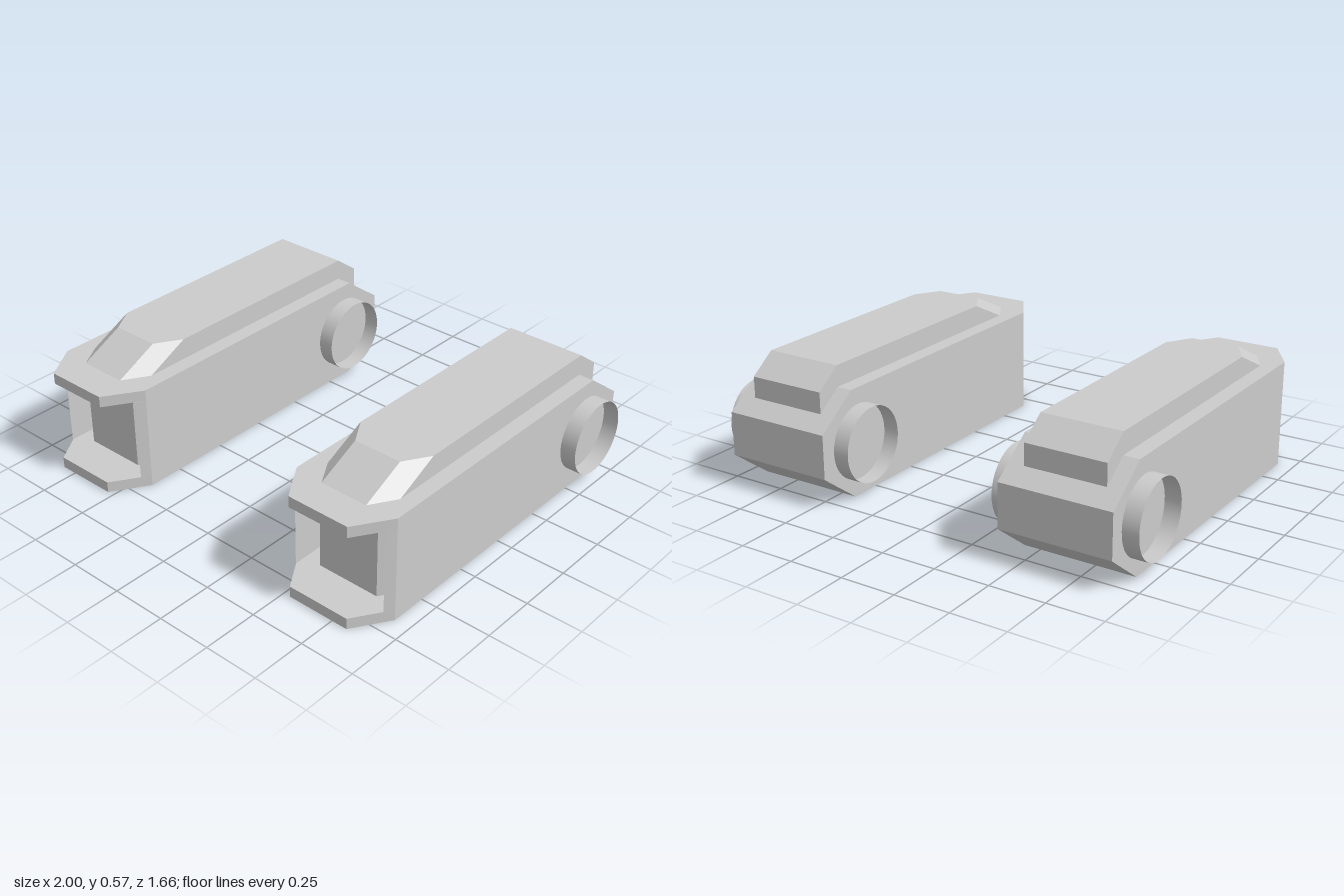
import * as THREE from 'three';
import { ConvexGeometry } from 'three/addons/geometries/ConvexGeometry.js';

const material = new THREE.MeshStandardMaterial({ color: 0xcccccc, flatShading: true });
const smooth = new THREE.MeshStandardMaterial({ color: 0xcccccc, side: THREE.DoubleSide });

function part(name, geometry, mat = material) {
  const mesh = new THREE.Mesh(geometry, mat);
  mesh.name = name;
  return mesh;
}

const polygon = (points) => new THREE.Shape(points.map(([a, b]) => new THREE.Vector2(a, b)));

// Side profile in (z, y), extruded across the width
function sideExtrude(points, width) {
  return new THREE.ExtrudeGeometry(polygon(points), { depth: width, bevelEnabled: false })
    .rotateY(-Math.PI / 2).translate(width / 2, 0, 0);
}

// Half plan in (x, z), mirrored and extruded from y0 up to y1
function planExtrude(half, y0, y1) {
  const mirrored = half.map(([x, z]) => [-x, z]).reverse();
  return new THREE.ExtrudeGeometry(polygon([...half, ...mirrored]), { depth: y1 - y0, bevelEnabled: false })
    .rotateX(Math.PI / 2).translate(0, y1, 0);
}

function createPod() {
  const pod = new THREE.Group();
  const joinZ = 0.4;

  // Main body with a bevelled rear
  pod.add(part('body', sideExtrude([
    [joinZ, 0], [joinZ, 0.48], [-0.64, 0.48], [-0.83, 0.34], [-0.83, 0.145], [-0.64, 0],
  ], 0.5)));

  // Chamfered nose: floor and roof plates around a recessed core with thin side walls
  const plate = [[0.25, joinZ], [0.25, 0.665], [0.145, 0.827]];
  pod.add(part('noseFloor', planExtrude(plate, 0, 0.05)));
  pod.add(part('noseRoof', planExtrude(plate, 0.43, 0.48)));
  pod.add(part('noseCore', planExtrude([
    [0.25, joinZ], [0.25, 0.665], [0.225, 0.705], [0.225, 0.53], [0.145, 0.65],
  ], 0.05, 0.43)));

  // Raised top cover with sloped, chamfered front and stepped rear
  const corners = [
    [0.18, 0.395, -0.755], [0.18, 0.49, -0.755], [0.18, 0.575, -0.64],
    [0.18, 0.575, 0.37], [0.11, 0.575, 0.485],
    [0.18, 0.48, 0.565], [0.11, 0.48, 0.68],
  ];
  pod.add(part('topCover', new ConvexGeometry(corners.flatMap(([x, y, z]) => [
    new THREE.Vector3(x, y, z), new THREE.Vector3(-x, y, z),
  ]))));

  // Open rings on both sides near the rear
  for (const side of [-1, 1]) {
    const ring = part(side > 0 ? 'leftRing' : 'rightRing',
      new THREE.CylinderGeometry(0.167, 0.167, 0.0725, 48, 1, true).rotateZ(Math.PI / 2), smooth);
    ring.position.set(side * 0.28625, 0.24, -0.597);
    pod.add(ring);
  }
  return pod;
}

export function createModel() {
  const model = new THREE.Group();
  model.name = 'podPair';
  for (const side of [-1, 1]) {
    const pod = createPod();
    pod.name = side > 0 ? 'leftPod' : 'rightPod';
    pod.position.x = side * 0.6775;
    model.add(pod);
  }
  return model;
}
